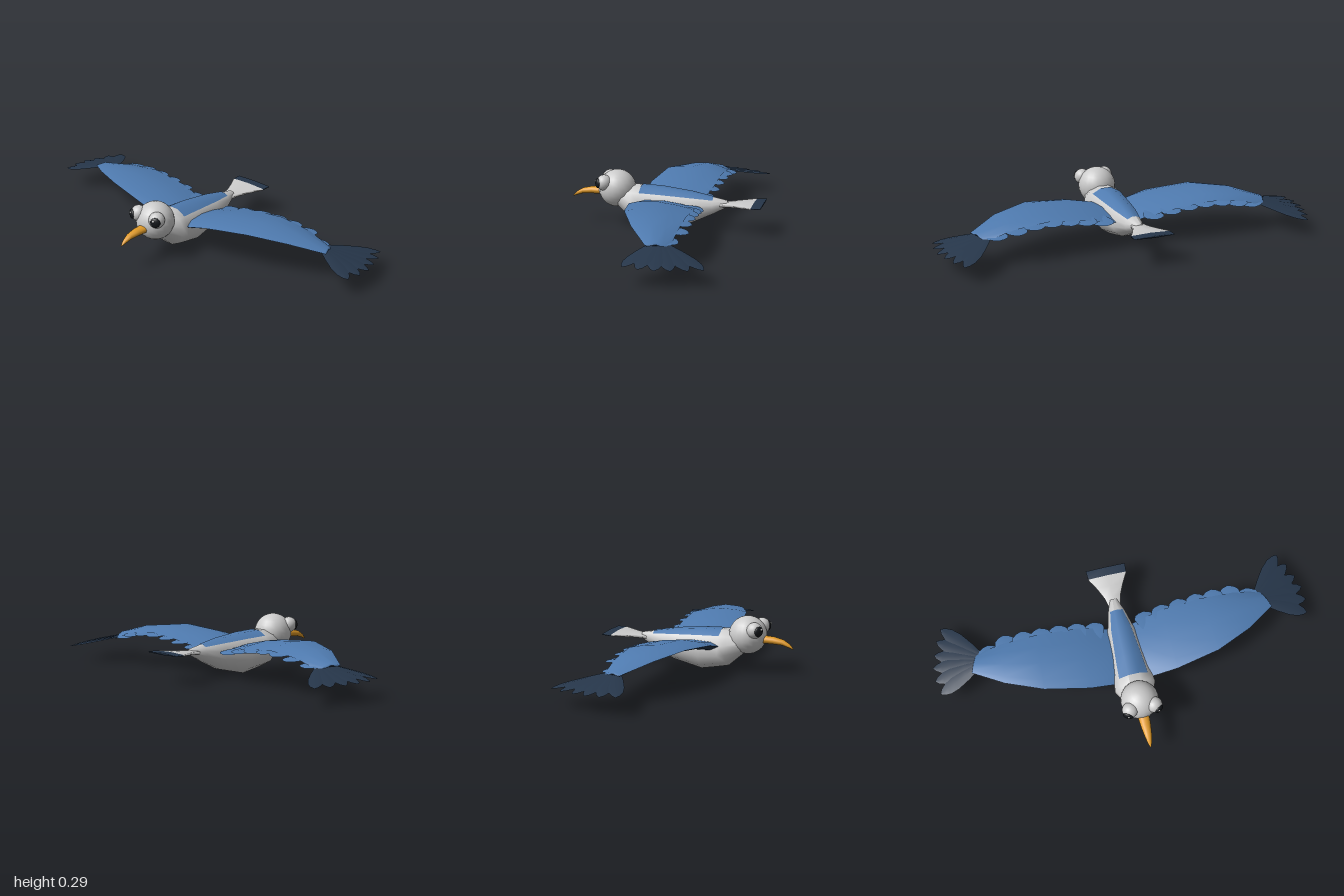
import * as THREE from 'three';

const mat = (color) => new THREE.MeshStandardMaterial({ color });
const white = mat(0xcccccc), blue = mat(0x4f7bb0), navy = mat(0x26364a);
const orange = mat(0xe09a28), black = mat(0x15181c), eyeWhite = mat(0xdadada);

// Smooth skin through rows of points; the front side is column direction x row direction
function skin(name, rows, material, flip = false) {
  const n = rows[0].length, index = [];
  for (let i = 0; i < rows.length - 1; i++) {
    for (let j = 0; j < n - 1; j++) {
      const a = i * n + j, b = a + 1, c = b + n, d = a + n;
      if (flip) index.push(a, c, b, a, d, c);
      else index.push(a, b, c, a, c, d);
    }
  }
  const geo = new THREE.BufferGeometry();
  geo.setAttribute('position', new THREE.Float32BufferAttribute(rows.flat(2), 3));
  geo.setIndex(index);
  geo.computeVertexNormals();
  const mesh = new THREE.Mesh(geo, material);
  mesh.name = name;
  return mesh;
}

// Elliptic arc at depth z, angles in degrees
function arc(z, y, rx, ry, from, to, steps) {
  return Array.from({ length: steps + 1 }, (_, k) => {
    const a = THREE.MathUtils.degToRad(from + (to - from) * k / steps);
    return [rx * Math.cos(a), y + ry * Math.sin(a), z];
  });
}

// Body stations, back to front: z, half width, top, bottom
const BODY = [
  [-0.325, 0.002, 0.143, 0.139], [-0.32, 0.02, 0.16, 0.125], [-0.25, 0.046, 0.172, 0.088],
  [-0.14, 0.073, 0.192, 0.036], [0.02, 0.093, 0.21, 0.0], [0.13, 0.103, 0.213, 0.021],
  [0.17, 0.106, 0.214, 0.03], [0.25, 0.07, 0.2, 0.1],
];
const bodyArc = ([z, w, top, bottom], from, to, steps, lift = 0) =>
  arc(z, (top + bottom) / 2 + lift, w / 0.966, (top - bottom) / 2 / 0.966, from, to, steps);

// Wing stations, root to tip: trailing x, leading x, trailing z, leading z, top y, thickness
const WING = [
  [0.04, 0.04, -0.17, 0.135, 0.15, 0.05], [0.1, 0.1, -0.18, 0.14, 0.167, 0.05],
  [0.23, 0.23, -0.2, 0.14, 0.195, 0.036], [0.44, 0.46, -0.205, 0.1, 0.217, 0.028],
  [0.62, 0.65, -0.205, 0.015, 0.198, 0.024], [0.76, 0.8, -0.2, -0.09, 0.155, 0.018],
  [0.765, 0.805, -0.199, -0.091, 0.146, 0.002],
];
// Chord position (trailing to leading), drop of the top, share of thickness below it
const CHORD = [[0, 0.03, 0], [0.25, 0.012, 0.6], [0.55, 0, 1], [0.85, 0.005, 0.85], [1, 0, 0.5]];

function wingRows(under) {
  return WING.map(([xt, xl, zt, zl, y, t]) => CHORD.map(([u, drop, share]) => {
    const edge = u === 1 ? t * 0.5 : drop + (under ? t * share : 0);
    return [xt + (xl - xt) * u, y - edge, zt + (zl - zt) * u];
  }));
}

// Height of the wing's top at a given x
function wingTop(x) {
  const i = Math.max(1, WING.findIndex((s) => s[0] >= x));
  const a = WING[i - 1], b = WING[i];
  return THREE.MathUtils.mapLinear(x, a[0], b[0], a[4], b[4]);
}

// Thin leaf-shaped feather with its own top and underside colour
const LEAF = [[0, 0.45], [0.3, 0.8], [0.6, 1], [0.8, 0.88], [0.93, 0.5], [1, 0.04]];
function feather(name, base, tip, halfWidth, topMat, underMat) {
  const a = new THREE.Vector3(...base), b = new THREE.Vector3(...tip);
  const side = b.clone().sub(a).cross(new THREE.Vector3(0, 1, 0)).normalize();
  const rows = (bulge) => LEAF.map(([t, w]) => [-1, 0, 1].map((s) => {
    const p = a.clone().lerp(b, t).addScaledVector(side, s * w * halfWidth);
    return [p.x, p.y + (s === 0 ? bulge * w : 0), p.z];
  }));
  const group = new THREE.Group();
  group.name = name;
  group.add(skin('featherTop', rows(0.005), topMat), skin('featherUnderside', rows(-0.004), underMat, true));
  return group;
}

function makeWing(name) {
  const wing = new THREE.Group();
  wing.name = name;
  wing.add(skin('wingTop', wingRows(false), blue), skin('wingUnderside', wingRows(true), navy, true));

  // Trailing feathers
  [-0.225, -0.235, -0.242, -0.246, -0.25, -0.256, -0.228].forEach((z, i) => {
    const x = 0.14 + i * 0.093, y = wingTop(x), step = (i % 2) * 0.003;
    wing.add(feather('trailingFeather', [x - 0.005, y - 0.022 - step, -0.12],
      [x, y - 0.042 - step, z], 0.056, blue, navy));
  });

  // Wingtip feathers, fanned from back to front
  const tips = [[0.92, -0.395], [0.955, -0.33], [0.98, -0.255], [0.998, -0.185], [1, -0.11], [0.985, -0.035]];
  tips.forEach(([x, z], i) => {
    wing.add(feather('wingtipFeather', [0.745 + i * 0.005, 0.134 + i * 0.002, -0.185 + i * 0.013],
      [x, 0.084 + i * 0.002, z], 0.037, navy, navy));
  });
  return wing;
}

function makeEye(name) {
  const eye = new THREE.Group();
  eye.name = name;
  const ball = (part, r, x, y, z, m) => {
    const mesh = new THREE.Mesh(new THREE.SphereGeometry(r, 20, 14), m);
    mesh.name = part;
    mesh.position.set(x, y, z);
    eye.add(mesh);
    return mesh;
  };
  ball('eyeball', 0.041, 0, 0, 0, eyeWhite);
  ball('pupil', 0.026, 0, 0, 0.033, black).scale.z = 0.5;
  ball('eyeHighlight', 0.006, -0.008, 0.011, 0.043, eyeWhite);
  eye.position.set(0.063, 0.232, 0.318);
  eye.rotation.y = 0.55;
  return eye;
}

// Flat box-like ring for the tail
const tailRing = ([z, w, top, bottom]) =>
  [[0, bottom, z], [w, bottom + 0.003, z], [w, top - 0.004, z], [0, top, z],
    [-w, top - 0.004, z], [-w, bottom + 0.003, z], [0, bottom, z]];

export function createModel() {
  const bird = new THREE.Group();
  bird.name = 'bird';

  // Body with the coloured back laid over it
  bird.add(skin('body', BODY.map((s) => bodyArc(s, 105, 465, 12)), white));
  bird.add(skin('back', BODY.slice(2, 6).map((s) => bodyArc(s, 45, 135, 3, 0.003)), blue));

  // Head
  const head = new THREE.Mesh(new THREE.SphereGeometry(0.098, 20, 14), white);
  head.name = 'head';
  head.position.set(0, 0.193, 0.263);
  bird.add(head);

  // Hooked beak: z, y, half width, half height
  const beak = [[0.33, 0.176, 0.031, 0.021], [0.4, 0.174, 0.026, 0.019], [0.45, 0.167, 0.019, 0.015],
    [0.485, 0.151, 0.011, 0.01], [0.503, 0.138, 0.004, 0.004], [0.505, 0.136, 0.0005, 0.0005]];
  bird.add(skin('beak', beak.map(([z, y, w, h]) => arc(z, y, w, h, -90, 270, 12)), orange));

  // Tail and its dark tip
  const tail = [[-0.46, 0.103, 0.158, 0.143], [-0.4, 0.07, 0.156, 0.138],
    [-0.34, 0.043, 0.153, 0.133], [-0.27, 0.028, 0.149, 0.127]];
  const tailTip = [[-0.51, 0.0005, 0.154, 0.15], [-0.509, 0.106, 0.158, 0.147], tail[0]];
  bird.add(skin('tail', tail.map(tailRing), white));
  bird.add(skin('tailTip', tailTip.map(tailRing), navy));

  // Mirrored pairs
  const rightWing = makeWing('rightWing');
  rightWing.scale.x = -1;
  const rightEye = new THREE.Group();
  rightEye.name = 'rightEyeMirror';
  rightEye.scale.x = -1;
  rightEye.add(makeEye('rightEye'));
  bird.add(makeWing('leftWing'), rightWing, makeEye('leftEye'), rightEye);
  return bird;
}
